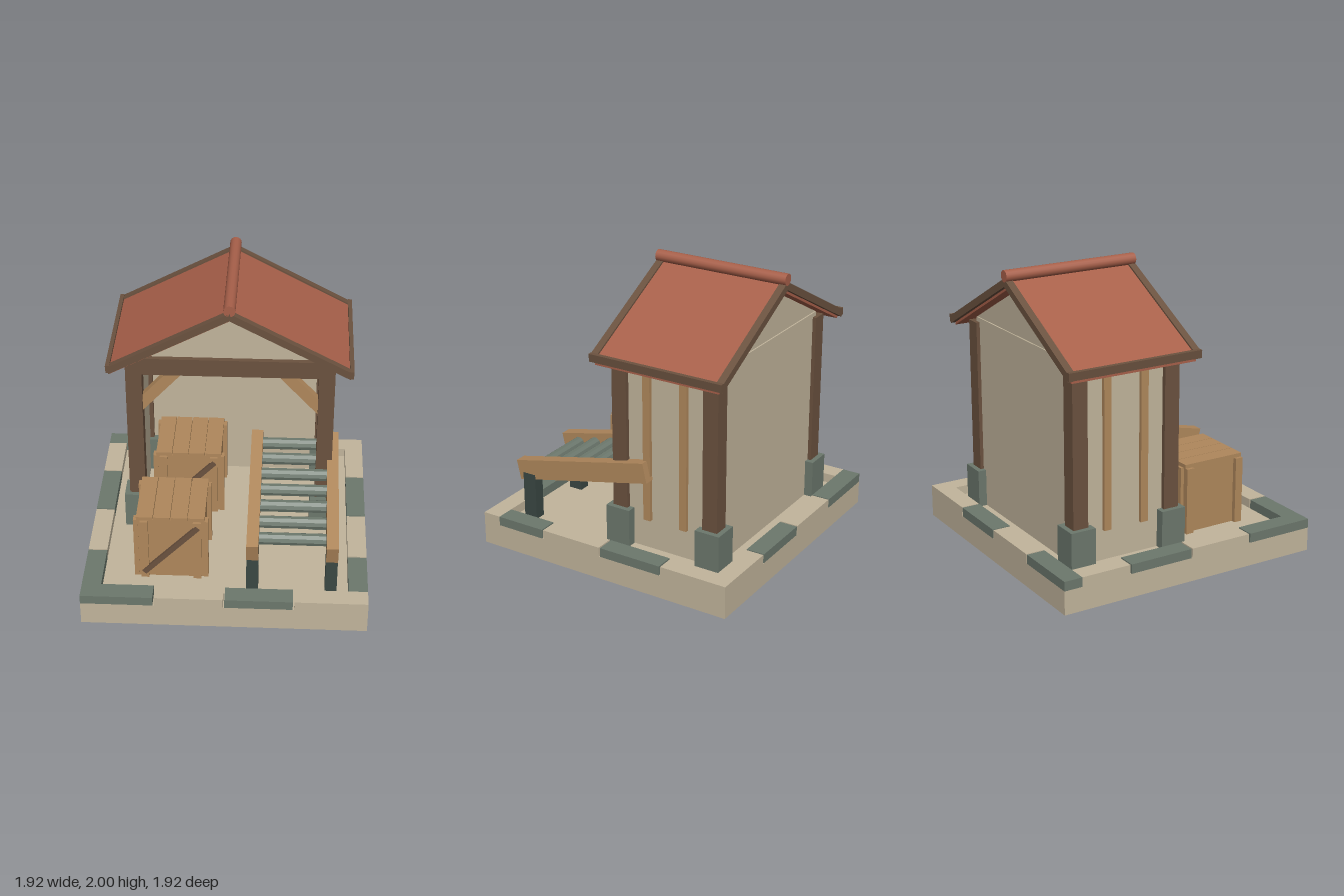
import * as THREE from 'three';

const mat = (name, color) => {
  const m = new THREE.MeshStandardMaterial({ color });
  m.name = name;
  return m;
};

export function createModel() {
  const plaster = mat('plaster', 0xc2b59c);
  const lightWood = mat('light wood', 0xb0885c);
  const darkWood = mat('dark wood', 0x6b523f);
  const redTile = mat('red tile', 0xa8604a);
  const stone = mat('grey green stone', 0x6c786d);
  const darkMetal = mat('dark metal', 0x3a4743);

  const model = new THREE.Group();
  model.name = 'workshopShelter';

  const add = (parent, name, geometry, material) => {
    const mesh = new THREE.Mesh(geometry, material);
    mesh.name = name;
    parent.add(mesh);
    return mesh;
  };
  // Box given by its minimum and maximum on each axis
  const box = (parent, name, material, x0, x1, y0, y1, z0, z1) => {
    const mesh = add(parent, name, new THREE.BoxGeometry(x1 - x0, y1 - y0, z1 - z0), material);
    mesh.position.set((x0 + x1) / 2, (y0 + y1) / 2, (z0 + z1) / 2);
    return mesh;
  };
  // Polygon in x and y, extruded from z0 to z1
  const prism = (parent, name, material, points, z0, z1) => {
    const shape = new THREE.Shape(points.map(([x, y]) => new THREE.Vector2(x, y)));
    const geometry = new THREE.ExtrudeGeometry(shape, { depth: z1 - z0, bevelEnabled: false });
    geometry.translate(0, 0, z0);
    return add(parent, name, geometry, material);
  };

  // Ground slab with alternating edging stones
  const FLOOR = 0.165;
  const base = new THREE.Group();
  base.name = 'base';
  model.add(base);
  box(base, 'slab', plaster, -0.96, 0.96, 0, FLOOR, -0.96, 0.96);
  const cuts = [-0.96, -0.47, 0, 0.465, 0.96];
  for (let i = 0; i < 4; i++) {
    const a = cuts[i] + (i ? 0.005 : 0);
    const b = cuts[i + 1] - (i < 3 ? 0.005 : 0);
    const c = Math.max(a, -0.83), d = Math.min(b, 0.83);
    for (const s of [-1, 1]) {
      const inner = Math.min(s * 0.83, s * 0.96), outer = Math.max(s * 0.83, s * 0.96);
      box(base, 'edgingStone', i % 2 ? plaster : stone, a, b, FLOOR, 0.23, inner, outer);
      box(base, 'sideEdgingStone', i % 2 ? stone : plaster, inner, outer, FLOOR, 0.23, c, d);
    }
  }

  // Posts on stone footings, side walls with battens, and braces
  const frame = new THREE.Group();
  frame.name = 'frame';
  model.add(frame);
  for (const s of [-1, 1]) {
    const x = s * 0.65;
    for (const z of [0, -0.69]) {
      box(frame, 'footing', stone, x - 0.09, x + 0.09, FLOOR, 0.43, z - 0.09, z + 0.09);
      box(frame, 'post', darkWood, x - 0.055, x + 0.055, 0.43, 1.5, z - 0.055, z + 0.055);
    }
    box(frame, 'sideWall', plaster, x - 0.025, x + 0.025, FLOOR, 1.52, -0.67, -0.02);
    for (const z of [-0.205, -0.483]) {
      const bx = s * 0.685;
      box(frame, 'wallBatten', lightWood, bx - 0.015, bx + 0.015, 0.375, 1.48, z - 0.027, z + 0.027);
    }
    const brace = add(frame, 'brace', new THREE.BoxGeometry(0.42, 0.08, 0.06), lightWood);
    brace.position.set(s * 0.49, 1.285, 0);
    brace.rotation.z = -s * 0.83;
  }
  box(frame, 'frontBeam', darkWood, -0.704, 0.704, 1.41, 1.535, -0.056, 0.056);
  box(frame, 'backWall', plaster, -0.64, 0.64, FLOOR, 1.53, -0.72, -0.66);
  for (const z of [0, -0.69]) {
    prism(frame, 'gable', plaster, [[-0.66, 1.53], [0.66, 1.53], [0, 1.89]], z - 0.02, z + 0.02);
  }

  // Roof: tile sheets, rake boards, eave boards and ridge roll
  const roof = new THREE.Group();
  roof.name = 'roof';
  model.add(roof);
  const chevron = (top, bottom, half, slope = 0.53) => [
    [0, top], [-half, top - slope * half], [-half, bottom - slope * half],
    [0, bottom], [half, bottom - slope * half], [half, top - slope * half],
  ];
  prism(roof, 'tileSheets', redTile, chevron(1.932, 1.872, 0.8), -0.805, 0.115);
  for (const z of [-0.835, 0.095]) {
    prism(roof, 'rakeBoard', darkWood, chevron(1.945, 1.89, 0.805), z, z + 0.05);
  }
  for (const s of [-1, 1]) {
    const eave = box(roof, 'eaveBoard', darkWood, s * 0.81 - 0.014, s * 0.81 + 0.014, 1.472, 1.526, -0.835, 0.145);
    eave.rotation.z = -s * 0.06;
  }
  const ridge = add(roof, 'ridgeRoll', new THREE.CylinderGeometry(0.04, 0.04, 0.98, 16), redTile);
  ridge.rotation.x = Math.PI / 2;
  ridge.position.set(0, 1.96, -0.345);

  // Plank crates, one outside and one under the roof
  const crate = (x, z) => {
    const g = new THREE.Group();
    g.name = 'crate';
    g.position.set(x, FLOOR, z);
    model.add(g);
    box(g, 'crateBody', lightWood, -0.22, 0.22, 0, 0.47, -0.225, 0.225);
    for (let i = 0; i < 4; i++) {
      const px = -0.23 + i * 0.116;
      box(g, 'lidPlank', lightWood, px, px + 0.111, 0.465, 0.495, -0.23, 0.23);
    }
    for (const s of [-1, 1]) {
      for (const t of [-1, 1]) {
        const bx = s * 0.235, bz = t * 0.2;
        box(g, 'sideBatten', lightWood, bx - 0.016, bx + 0.016, 0, 0.468, bz - 0.028, bz + 0.028);
        const fx = s * 0.178, fz = t * 0.235;
        box(g, 'endBatten', lightWood, fx - 0.027, fx + 0.027, 0, 0.468, fz - 0.014, fz + 0.014);
      }
      const strap = add(g, 'diagonalStrap', new THREE.BoxGeometry(0.53, 0.036, 0.022), darkWood);
      strap.position.set(0, 0.24, s * 0.249);
      strap.rotation.z = 0.81;
    }
  };
  crate(-0.37, 0.415);
  crate(-0.3, -0.34);

  // Sloping roller conveyor on two legs
  const conveyor = new THREE.Group();
  conveyor.name = 'rollerConveyor';
  model.add(conveyor);
  const TILT = Math.atan2(0.2325, 1.03);
  for (const x of [0.183, 0.712]) {
    const rail = add(conveyor, 'rail', new THREE.BoxGeometry(0.08, 0.14, 1.056), lightWood);
    rail.position.set(x, 0.626, 0.2925);
    rail.rotation.x = TILT;
    box(conveyor, 'leg', darkMetal, x - 0.04, x + 0.04, FLOOR, 0.5, 0.67, 0.77);
  }
  const rollerGeometry = new THREE.CylinderGeometry(0.043, 0.043, 0.46, 10).toNonIndexed();
  rollerGeometry.computeVertexNormals();
  for (let i = 0; i < 7; i++) {
    const z = 0.677 - i * 0.14;
    const roller = add(conveyor, 'roller', rollerGeometry, stone);
    roller.rotation.z = Math.PI / 2;
    roller.position.set(0.4475, 0.626 + (0.2925 - z) * Math.tan(TILT), z);
  }

  return model;
}
